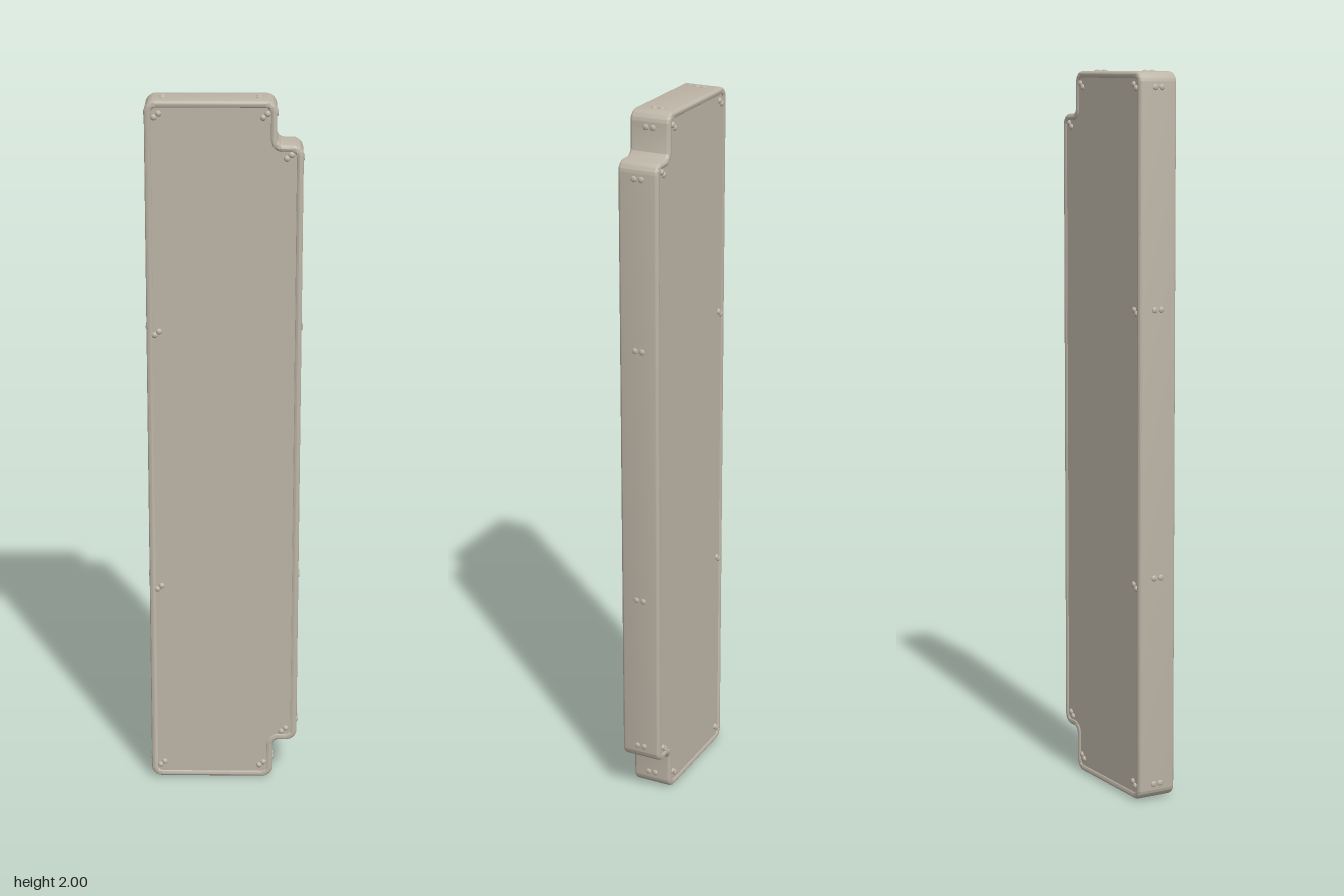
import * as THREE from 'three';
import { toCreasedNormals } from 'three/addons/utils/BufferGeometryUtils.js';

// Corners of the case, counter-clockwise: [x, y, inset x, inset y, turn (1 = outer corner, -1 = inner)]
const CORNERS = [
  [-0.21, 0.004, 1, 1, 1],
  [0.14, 0.004, -1, 1, 1],
  [0.14, 0.125, -1, 1, -1],
  [0.21, 0.125, -1, 1, 1],
  [0.21, 1.879, -1, -1, 1],
  [0.14, 1.879, -1, -1, -1],
  [0.14, 1.996, -1, -1, 1],
  [-0.21, 1.996, 1, -1, 1],
];

// Rounded outline of the case, moved inward by d
function outline(d, Type = THREE.Shape) {
  const pts = CORNERS.map(([x, y, sx, sy]) => new THREE.Vector2(x + sx * d, y + sy * d));
  const shape = new Type();
  pts.forEach((p, i) => {
    const turn = CORNERS[i][4];
    const r = turn > 0 ? 0.03 - d * 0.8 : 0.02 + d * 0.8;
    const prev = pts[(i + pts.length - 1) % pts.length];
    const next = pts[(i + 1) % pts.length];
    const u = prev.clone().sub(p).normalize();
    const v = next.clone().sub(p).normalize();
    const a = p.clone().addScaledVector(u, r);
    const c = p.clone().addScaledVector(u, r).addScaledVector(v, r);
    if (i === 0) shape.moveTo(a.x, a.y);
    else shape.lineTo(a.x, a.y);
    const start = Math.atan2(-v.y, -v.x);
    shape.absarc(c.x, c.y, r, start, start + turn * Math.PI / 2, turn < 0);
  });
  shape.closePath();
  return shape;
}

export function createModel() {
  const model = new THREE.Group();
  model.name = 'case';
  const shell = new THREE.MeshStandardMaterial({ color: 0xbdb5a7 });
  shell.name = 'warm grey shell';

  // Rounded rim running round the whole case
  const bevel = 0.009, half = 0.0575;
  const rimShape = outline(0);
  rimShape.holes.push(outline(0.02, THREE.Path));
  const rimGeo = new THREE.ExtrudeGeometry(rimShape, {
    depth: 2 * (half - bevel), bevelThickness: bevel, bevelSize: bevel,
    bevelOffset: -bevel, bevelSegments: 4, curveSegments: 8,
  });
  rimGeo.translate(0, 0, -(half - bevel));
  const rim = new THREE.Mesh(toCreasedNormals(rimGeo, 0.7), shell);
  rim.name = 'rim';
  model.add(rim);

  // Front and back panels, set slightly below the rim
  const panelZ = 0.054;
  const panelGeo = new THREE.ExtrudeGeometry(outline(0.0145), {
    depth: 2 * panelZ, bevelEnabled: false, curveSegments: 8,
  });
  panelGeo.translate(0, 0, -panelZ);
  const panels = new THREE.Mesh(toCreasedNormals(panelGeo, 0.7), shell);
  panels.name = 'panels';
  model.add(panels);

  // Low domed rivets, always in pairs
  const rivets = new THREE.Group();
  rivets.name = 'rivets';
  model.add(rivets);
  const dome = new THREE.SphereGeometry(1, 14, 5, 0, Math.PI * 2, 0, Math.PI / 2);
  const up = new THREE.Vector3(0, 1, 0);
  function rivetPair(x, y, z, normal, spread, height) {
    for (const s of [-1, 1]) {
      const rivet = new THREE.Mesh(dome, shell);
      rivet.name = 'rivet';
      rivet.scale.set(0.0085, height, 0.0085);
      rivet.quaternion.setFromUnitVectors(up, normal);
      rivet.position.set(x, y, z).addScaledVector(spread, s);
      rivets.add(rivet);
    }
  }
  const alongZ = new THREE.Vector3(0, 0, 0.0105);
  const diagonal = new THREE.Vector3(0.006, 0.005, 0);

  // On the front and back panels
  const facePairs = [
    [-0.178, 1.957], [0.108, 1.957], [0.172, 1.848], [-0.182, 1.36],
    [-0.182, 0.607], [-0.178, 0.047], [0.108, 0.047], [0.172, 0.158],
  ];
  for (const side of [-1, 1]) {
    const normal = new THREE.Vector3(0, 0, side);
    for (const [x, y] of facePairs) rivetPair(x, y, side * panelZ, normal, diagonal, 0.0065);
  }

  // On the two long edges and the notch walls
  for (const y of [0.047, 0.63, 1.365, 1.955]) rivetPair(-0.21, y, 0, new THREE.Vector3(-1, 0, 0), alongZ, 0.004);
  for (const y of [0.17, 0.63, 1.365, 1.835]) rivetPair(0.21, y, 0, new THREE.Vector3(1, 0, 0), alongZ, 0.004);
  for (const y of [0.047, 1.955]) rivetPair(0.14, y, 0, new THREE.Vector3(1, 0, 0), alongZ, 0.004);

  // On the top and bottom ends
  for (const x of [-0.162, 0.092]) {
    rivetPair(x, 1.996, -0.002, new THREE.Vector3(0, 1, 0), alongZ, 0.004);
    rivetPair(x, 0.004, -0.002, new THREE.Vector3(0, -1, 0), alongZ, 0.004);
  }
  return model;
}
